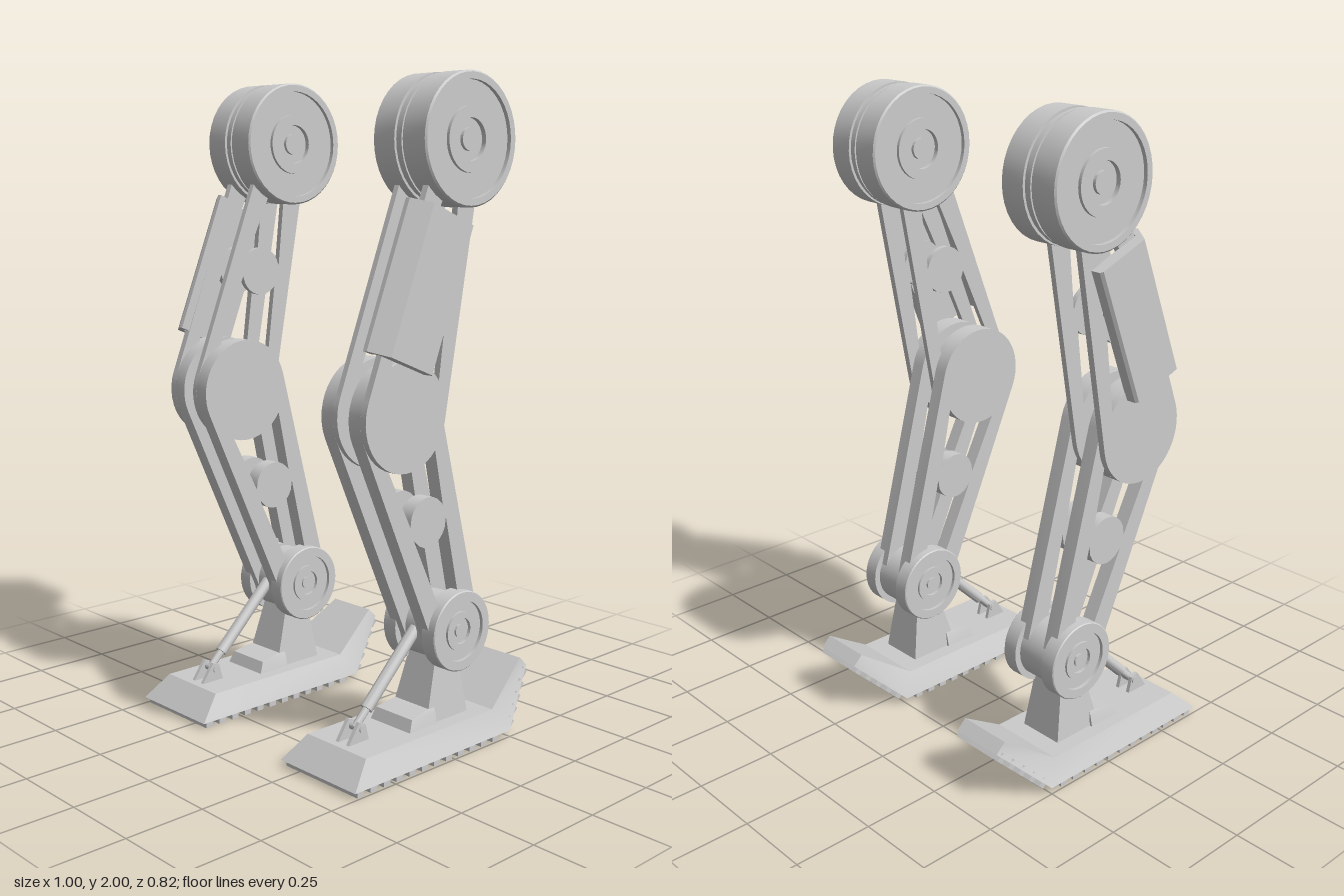
import * as THREE from 'three';
import { toCreasedNormals } from 'three/addons/utils/BufferGeometryUtils.js';

const material = new THREE.MeshStandardMaterial({ color: 0xcccccc });
const KNEE = [0.16, 1.04], HIP = [-0.06, 1.81], ANKLE = [-0.08, 0.365]; // [z, y]
const FOOT_X = 0.342, HIP_X = 0.376;

// Extrude a (z, y) shape across x from x0 to x1
function extrudeX(shape, x0, x1) {
  const g = new THREE.ExtrudeGeometry(shape, { depth: x1 - x0, bevelEnabled: false, curveSegments: 24 });
  return g.rotateY(-Math.PI / 2).translate(x1, 0, 0);
}

// Skin a row of four-cornered rings and cap both ends
function loft(rings) {
  const index = [], n = (rings.length - 1) * 4;
  for (let i = 0; i < n; i += 4) {
    for (let j = 0; j < 4; j++) {
      const a = i + j, b = i + (j + 1) % 4;
      index.push(a, b, b + 4, a, b + 4, a + 4);
    }
  }
  index.push(0, 2, 1, 0, 3, 2, n, n + 1, n + 2, n, n + 2, n + 3);
  const g = new THREE.BufferGeometry();
  g.setAttribute('position', new THREE.Float32BufferAttribute(rings.flat(2), 3));
  g.setIndex(index);
  return g;
}

// Round bar between two points
function rod(a, b, r) {
  const p = new THREE.Vector3(...a), d = new THREE.Vector3(...b).sub(p);
  const q = new THREE.Quaternion().setFromUnitVectors(new THREE.Vector3(0, 1, 0), d.clone().normalize());
  const g = new THREE.CylinderGeometry(r, r, d.length(), 16);
  return g.applyQuaternion(q).translate(...p.addScaledVector(d, 0.5).toArray());
}

// Joint drum turned around x from a half profile of [radius, offset]
function drum(half, x, [z, y]) {
  const pts = [...half.map(([r, h]) => [r, -h]), ...half.slice().reverse()];
  const g = new THREE.LatheGeometry(pts.map(([r, h]) => new THREE.Vector2(r, h)), 40);
  return g.rotateZ(-Math.PI / 2).translate(x, y, z);
}

// Tapered link plate: two round ends, side bars, and a disc between two openings
function linkShape(a, ra, b, rb, endR, discR, bar) {
  const dz = b[0] - a[0], dy = b[1] - a[1], L = Math.hypot(dz, dy);
  const at = (u, v) => new THREE.Vector2(a[0] + (u * dz - v * dy) / L, a[1] + (u * dy + v * dz) / L);
  const arc = (c, r, v0, v1, side) => Array.from({ length: 11 }, (_, i) => {
    const v = v0 + (v1 - v0) * i / 10;
    return at(c + side * Math.sqrt(Math.max(0, r * r - v * v)), v);
  });
  const tilt = Math.acos((ra - rb) / L), outline = [];
  for (let i = 0; i <= 24; i++) {
    const t = tilt + (2 * Math.PI - 2 * tilt) * i / 24;
    outline.push(at(ra * Math.cos(t), ra * Math.sin(t)));
  }
  for (let i = 0; i <= 16; i++) {
    const t = -tilt + 2 * tilt * i / 16;
    outline.push(at(L + rb * Math.cos(t), rb * Math.sin(t)));
  }
  const shape = new THREE.Shape(outline);
  const c = L * 0.48, hA = ra - bar - 0.005, hB = rb - bar;
  const hC = Math.min(ra + (rb - ra) * 0.48 - bar, discR) * 0.97;
  shape.holes.push(
    new THREE.Path([...arc(0, ra, -hA, hA, 1), ...arc(c, discR, hC, -hC, -1)]),
    new THREE.Path([...arc(c, discR, -hC, hC, 1), ...arc(L, endR, hB, -hB, -1)]));
  return shape;
}

function buildLeg() {
  const leg = new THREE.Group();
  const add = (name, geometry) => {
    const mesh = new THREE.Mesh(toCreasedNormals(geometry, 0.5), material);
    mesh.name = name;
    leg.add(mesh);
  };

  // Hip and ankle drums with stepped hubs
  add('hipDrum', drum([[0, 0.095], [0.032, 0.095], [0.032, 0.085], [0.06, 0.085], [0.06, 0.1], [0.093, 0.1],
    [0.093, 0.09], [0.165, 0.09], [0.165, 0.103], [0.185, 0.103], [0.19, 0.098], [0.19, 0.018],
    [0.182, 0.018], [0.182, 0.007], [0.187, 0.007]], HIP_X, HIP));
  add('ankleDrum', drum([[0, 0.098], [0.02, 0.098], [0.02, 0.092], [0.04, 0.092], [0.04, 0.102], [0.06, 0.102],
    [0.06, 0.095], [0.092, 0.095], [0.092, 0.106], [0.12, 0.106], [0.123, 0.103], [0.123, 0.055],
    [0.103, 0.055]], 0.344, ANKLE));

  // Paired thigh and shin plates
  const thigh = linkShape(KNEE, 0.16, HIP, 0.085, 0.17, 0.075, 0.055);
  const shin = linkShape(KNEE, 0.16, ANKLE, 0.1, 0.11, 0.075, 0.057);
  add('thighPlateInner', extrudeX(thigh, 0.312, 0.33));
  add('thighPlateOuter', extrudeX(thigh, 0.423, 0.444));
  add('shinPlateInner', extrudeX(shin, 0.265, 0.312));
  add('shinPlateOuter', extrudeX(shin, 0.376, 0.423));

  // Thigh armour: chamfered L section, x across and depth backwards, run along the thigh
  const section = [[0.41, 0], [0.425, 0], [0.483, 0.04], [0.483, 0.215], [0.475, 0.223],
    [0.442, 0.223], [0.442, 0.03], [0.41, 0.03]];
  const armour = new THREE.ExtrudeGeometry(
    new THREE.Shape(section.map(([x, d]) => new THREE.Vector2(x, -d))), { depth: 0.444, bevelEnabled: false });
  armour.rotateX(Math.PI / 2 - 0.378).translate(0, 1.65, 0.135);
  add('thighArmour', armour);

  // Foot: bevelled sole with a raised, narrowing heel
  const footRing = (zt, yt, wt, zb, yb, wb) => [[FOOT_X + wt, yt, zt], [FOOT_X + wb, yb, zb],
    [FOOT_X - wb, yb, zb], [FOOT_X - wt, yt, zt]];
  add('foot', loft([footRing(0.335, 0.09, 0.123, 0.41, 0.02, 0.158),
    footRing(-0.205, 0.09, 0.123, -0.25, 0.02, 0.158),
    footRing(-0.378, 0.205, 0.087, -0.41, 0.175, 0.087)]));

  // Tread bars under the sole and heel
  for (let i = 0; i < 12; i++) {
    add('soleTread', new THREE.BoxGeometry(0.3, 0.03, 0.026).translate(FOOT_X, 0.015, 0.382 - i * 0.052));
  }
  for (let i = 0; i < 5; i++) {
    const t = 0.12 + i * 0.19;
    add('heelTread', new THREE.BoxGeometry(0.3 - 0.135 * t, 0.03, 0.024).rotateX(0.77)
      .translate(FOOT_X, 0.02 + 0.155 * t, -0.25 - 0.16 * t));
  }

  // Ankle pedestal and the stepped block before it
  const flatRing = (y, w, zf, zb) => [[FOOT_X + w, y, zf], [FOOT_X + w, y, zb],
    [FOOT_X - w, y, zb], [FOOT_X - w, y, zf]];
  add('anklePedestal', loft([flatRing(0.08, 0.075, 0.04, -0.145), flatRing(0.3, 0.053, -0.025, -0.11)]));
  add('pedestalStep', loft([flatRing(0.08, 0.085, 0.12, 0), flatRing(0.125, 0.075, 0.1, 0),
    flatRing(0.137, 0.07, 0.03, 0)]));

  // Ankle piston with its hinge on the toe
  add('pistonSleeve', rod([FOOT_X, 0.37, 0.01], [FOOT_X, 0.17, 0.215], 0.019));
  add('pistonRod', rod([FOOT_X, 0.18, 0.205], [FOOT_X, 0.125, 0.262], 0.012));
  add('pistonPin', rod([FOOT_X - 0.032, 0.128, 0.258], [FOOT_X + 0.032, 0.128, 0.258], 0.012));
  for (const s of [-1, 1]) {
    const lug = new THREE.Shape([[0.315, 0.085], [0.27, 0.15], [0.245, 0.14], [0.23, 0.085]]
      .map(p => new THREE.Vector2(...p)));
    add('hingeLug', extrudeX(lug, FOOT_X + s * 0.022 - 0.006, FOOT_X + s * 0.022 + 0.006));
  }
  return leg;
}

// Mirror a mesh across x, swapping corners so the faces still point outwards
function mirrored(mesh) {
  const copy = new THREE.Mesh(mesh.geometry.clone().scale(-1, 1, 1), material);
  copy.name = mesh.name;
  for (const { array, itemSize: n } of Object.values(copy.geometry.attributes)) {
    for (let i = 0; i < array.length; i += 3 * n) {
      const second = array.slice(i + n, i + 2 * n);
      array.copyWithin(i + n, i + 2 * n, i + 3 * n);
      array.set(second, i + 2 * n);
    }
  }
  return copy;
}

export function createModel() {
  const model = new THREE.Group();
  const left = buildLeg(), right = new THREE.Group();
  left.name = 'leftLeg';
  right.name = 'rightLeg';
  left.children.forEach(mesh => right.add(mirrored(mesh)));
  model.add(left, right);
  return model;
}
